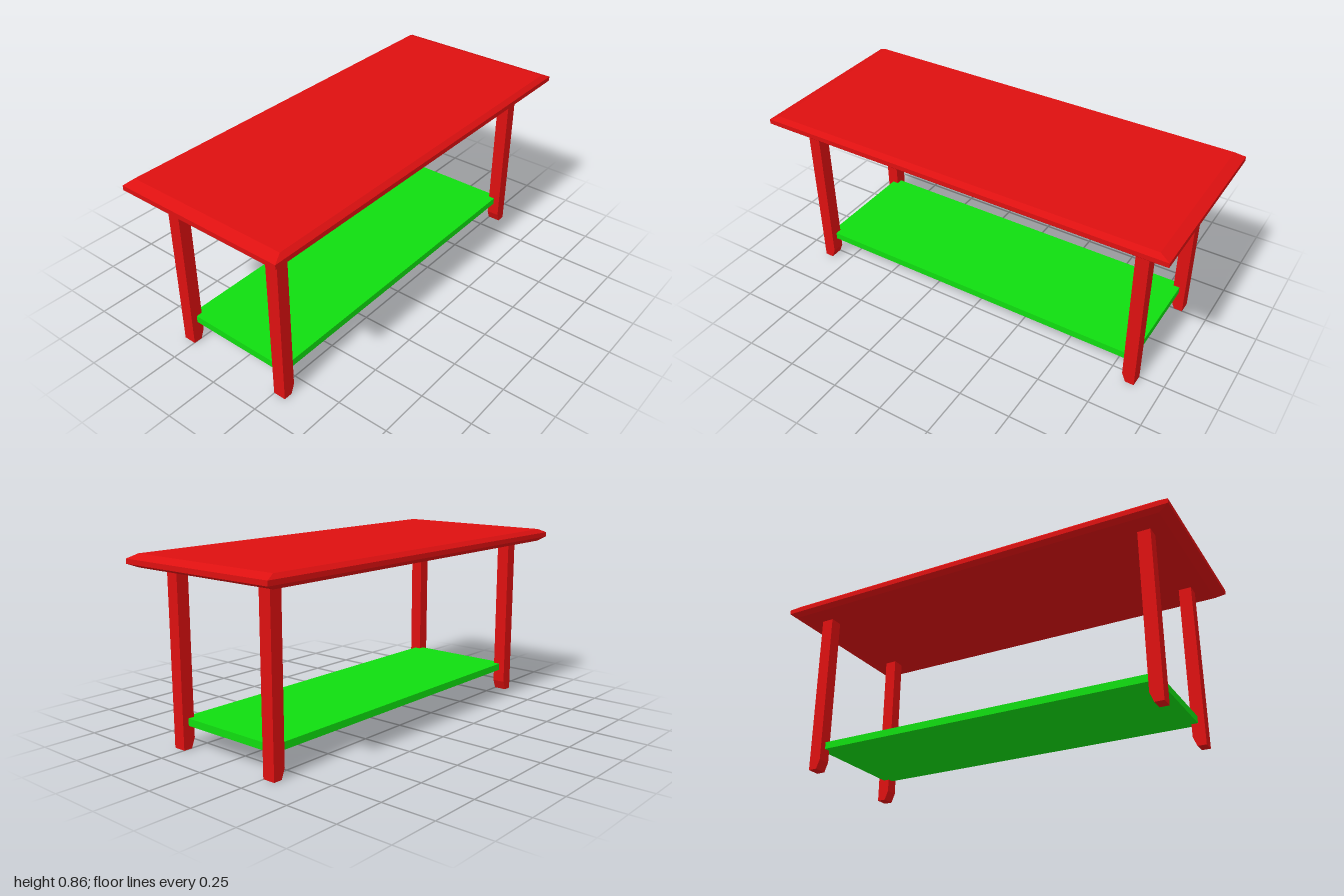
import * as THREE from 'three';

const RED = 0xdd1010, GREEN = 0x10dd10;

function addMesh(parent, name, geometry, color) {
  const mesh = new THREE.Mesh(geometry, new THREE.MeshStandardMaterial({ color, flatShading: true }));
  mesh.name = name;
  parent.add(mesh);
  return mesh;
}

// Slab with bevelled rims: four vertex rings, the outer two pulled inwards
function bevelledSlab(halfX, halfZ, levels, insetX, insetZ) {
  const geo = new THREE.BoxGeometry(2, 3, 2, 1, 3, 1);
  const p = geo.attributes.position;
  for (let i = 0; i < p.count; i++) {
    const ring = Math.round(p.getY(i) + 1.5);
    const rim = ring === 0 || ring === 3 ? 1 : 0;
    p.setXYZ(i, p.getX(i) * (halfX - rim * insetX), levels[ring], p.getZ(i) * (halfZ - rim * insetZ));
  }
  const flat = geo.toNonIndexed();
  flat.computeVertexNormals();
  return flat;
}

// Leg side profile (z, y), cut back at the foot on its inner side, extruded across x
function legGeometry(sz) {
  const profile = [[0.88, 0], [0.88, 0.8], [0.82, 0.8], [0.82, 0.045], [0.838, 0]];
  const shape = new THREE.Shape(profile.map(([z, y]) => new THREE.Vector2(-z * sz, y)));
  const geo = new THREE.ExtrudeGeometry(shape, { depth: 0.062, bevelEnabled: false });
  geo.translate(0, 0, -0.031);
  geo.rotateY(Math.PI / 2); // shape x becomes -z
  return geo;
}

export function createModel() {
  const table = new THREE.Group();
  table.name = 'table';

  // Table top
  addMesh(table, 'tableTop', bevelledSlab(0.425, 1, [0.797, 0.816, 0.838, 0.857], 0.021, 0.048), RED);

  // Four legs
  for (const sx of [-1, 1]) {
    for (const sz of [-1, 1]) {
      const name = (sz > 0 ? 'front' : 'back') + (sx > 0 ? 'Left' : 'Right') + 'Leg';
      addMesh(table, name, legGeometry(sz), RED).position.x = sx * 0.279;
    }
  }

  // Lower shelf, its corners let into the legs
  addMesh(table, 'shelf', new THREE.BoxGeometry(0.558, 0.034, 1.7), GREEN).position.y = 0.123;

  return table;
}
